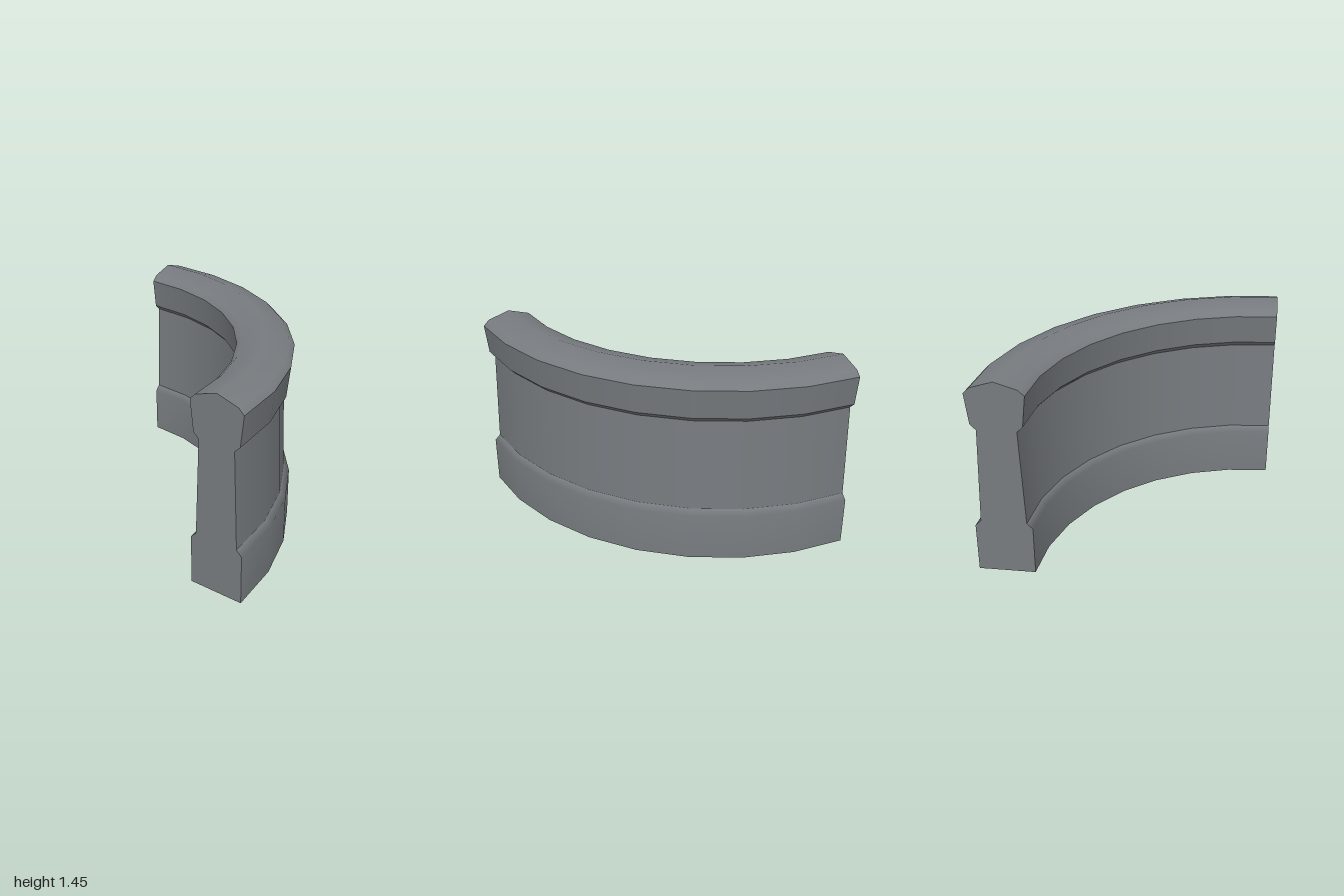
import * as THREE from 'three';

// Quarter-round low wall: one moulded profile swept about the corner (-1, 1).
export function createModel() {
  const group = new THREE.Group();
  group.name = 'curvedWall';
  const stone = new THREE.MeshStandardMaterial({ color: 0x777b7f });
  stone.name = 'grey stone';

  const add = (name, geometry) => {
    const mesh = new THREE.Mesh(geometry, stone);
    mesh.name = name;
    mesh.position.set(-1, 0, 1);
    group.add(mesh);
  };

  // Cross-section: [offset from the wall's middle, height], bottom to top
  const middle = 1.8;
  const plinth = [[0.2, 0], [0.2, 0.36], [0.16, 0.4]];
  const panel = [[0.16, 0.4], [0.135, 1.1]];
  const ledge = [[0.135, 1.1], [0.175, 1.14]];
  const rail = [[0.175, 1.14], [0.2, 1.36]];
  const crown = [[0.2, 1.36], [0.16, 1.4], [0, 1.45], [-0.16, 1.4], [-0.2, 1.36]];
  const base = [[-0.2, 0], [0.2, 0]];
  const mirror = (pts) => pts.map(([x, y]) => [-x, y]).reverse();

  // Each band is smooth in itself and creased against its neighbours
  const sweep = (name, pts) => add(name, new THREE.LatheGeometry(
    pts.map(([x, y]) => new THREE.Vector2(middle + x, y)), 8, Math.PI / 2, Math.PI / 2));

  const sides = { plinth, panel, ledge, rail };
  for (const [name, pts] of Object.entries(sides)) {
    sweep(name + 'Outer', pts);
    sweep(name + 'Inner', mirror(pts));
  }
  sweep('crown', crown);
  sweep('underside', base);

  // Flat cut ends
  const half = [...plinth, panel[1], ledge[1]];
  const outline = [...half, ...crown, ...mirror(half)];
  const endShape = (sign) => new THREE.ShapeGeometry(new THREE.Shape(
    outline.map(([x, y]) => new THREE.Vector2(sign * (middle + x), y))));
  add('frontEnd', endShape(1));
  add('rightEnd', endShape(-1).rotateY(-Math.PI / 2));

  return group;
}
